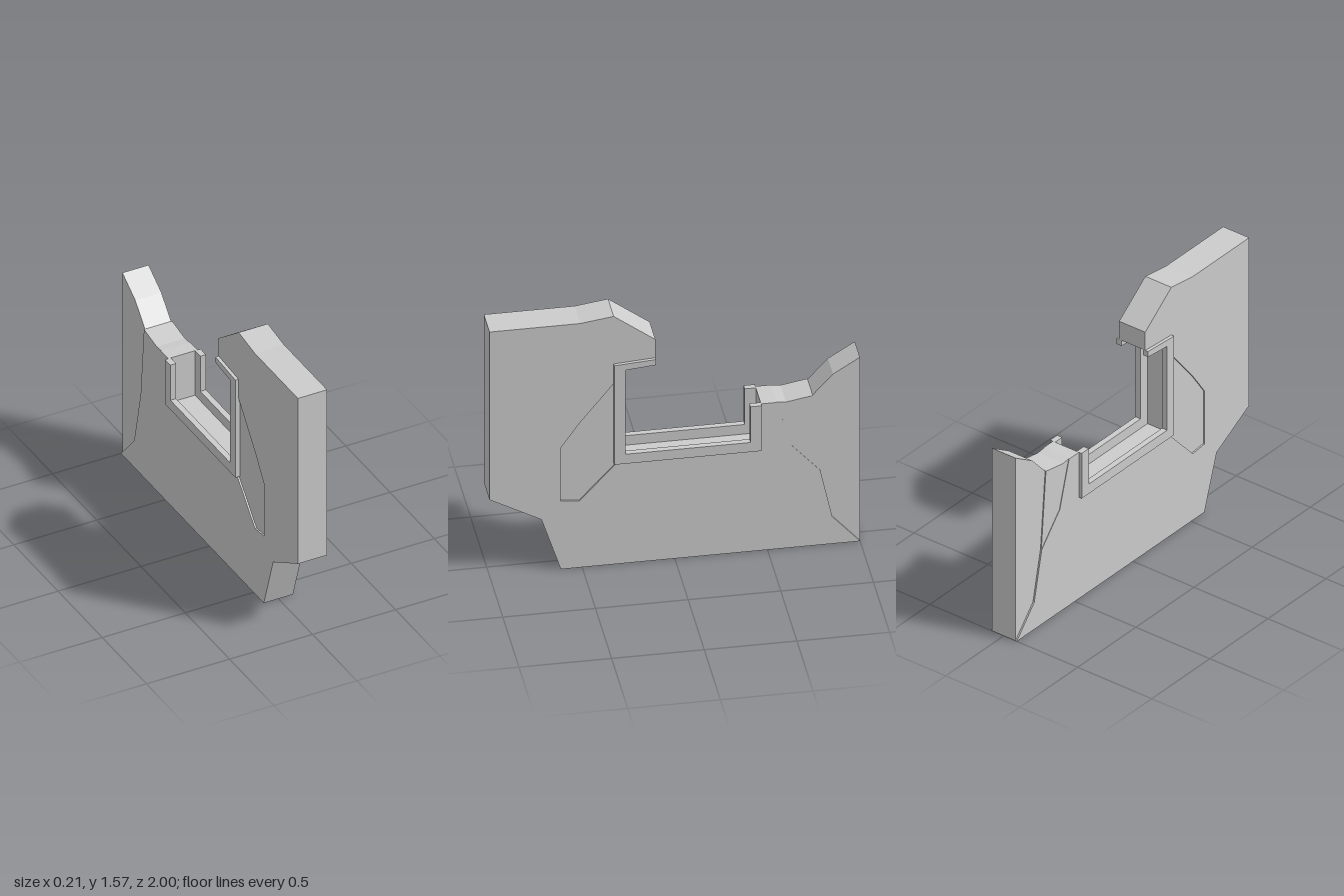
import * as THREE from 'three';

const material = new THREE.MeshStandardMaterial({ color: 0xcccccc, flatShading: true });

// Profile given as [z, y] points, extruded across the width from x0 to x1
function plate(name, points, x0, x1) {
  const shape = new THREE.Shape(points.map(([z, y]) => new THREE.Vector2(z, y)));
  const geometry = new THREE.ExtrudeGeometry(shape, { depth: x1 - x0, bevelEnabled: false });
  geometry.rotateY(-Math.PI / 2);
  geometry.translate(x1, 0, 0);
  const mesh = new THREE.Mesh(geometry, material);
  mesh.name = name;
  return mesh;
}

const CORE = 0.079, FACE = 0.088;

// Outline pieces shared by the core and the side faces
const frontHook = [
  [0.615, 0], [0.72, 0.325], [1, 0.48], [1, 1.54], [0.51, 1.54],
  [0.33, 1.565], [0.105, 1.395], [0.105, 1.28], [0.33, 1.265],
];
const rearSeat = [[-0.465, 0.64], [-0.465, 0.925], [-0.55, 0.925]];

const coreOutline = [
  ...frontHook, [0.33, 0.64], ...rearSeat,
  [-0.6, 0.92], [-0.745, 0.945], [-0.855, 1.065], [-1, 1.155], [-1, 0],
];

// Side face: notched around the shallow pocket and the rear recess
const faceOutline = [
  ...frontHook,
  [0.33, 1.14], [0.515, 0.91], [0.616, 0.765], [0.616, 0.43], [0.515, 0.42], [0.33, 0.62], [0.31, 0.64],
  ...rearSeat,
  [-0.63, 0.645], [-0.785, 0.47], [-0.85, 0.17], [-1, 0],
];

const rearPanel = [[-0.55, 0.925], [-0.6, 0.92], [-0.745, 0.945], [-0.785, 0.47], [-0.63, 0.645]];

// Raised lip following the opening
const lipOutline = [
  [0.105, 1.28], [0.33, 1.265], [0.33, 0.64], [-0.465, 0.64], [-0.465, 0.925],
  [-0.405, 0.925], [-0.405, 0.7], [0.27, 0.7], [0.27, 1.23], [0.105, 1.245],
];

export function createModel() {
  const group = new THREE.Group();
  group.name = 'slottedPlate';
  group.add(plate('core', coreOutline, -CORE, CORE));

  // Matching faces, panels and lips on both sides
  for (const [side, s] of [['left', 1], ['right', -1]]) {
    const add = (part, outline, inner, outer) =>
      group.add(plate(side + part, outline, Math.min(s * inner, s * outer), Math.max(s * inner, s * outer)));
    add('Face', faceOutline, CORE, FACE);
    add('RearPanel', rearPanel, CORE, 0.085);
    add('OpeningLip', lipOutline, 0.073, 0.107);
  }
  return group;
}
